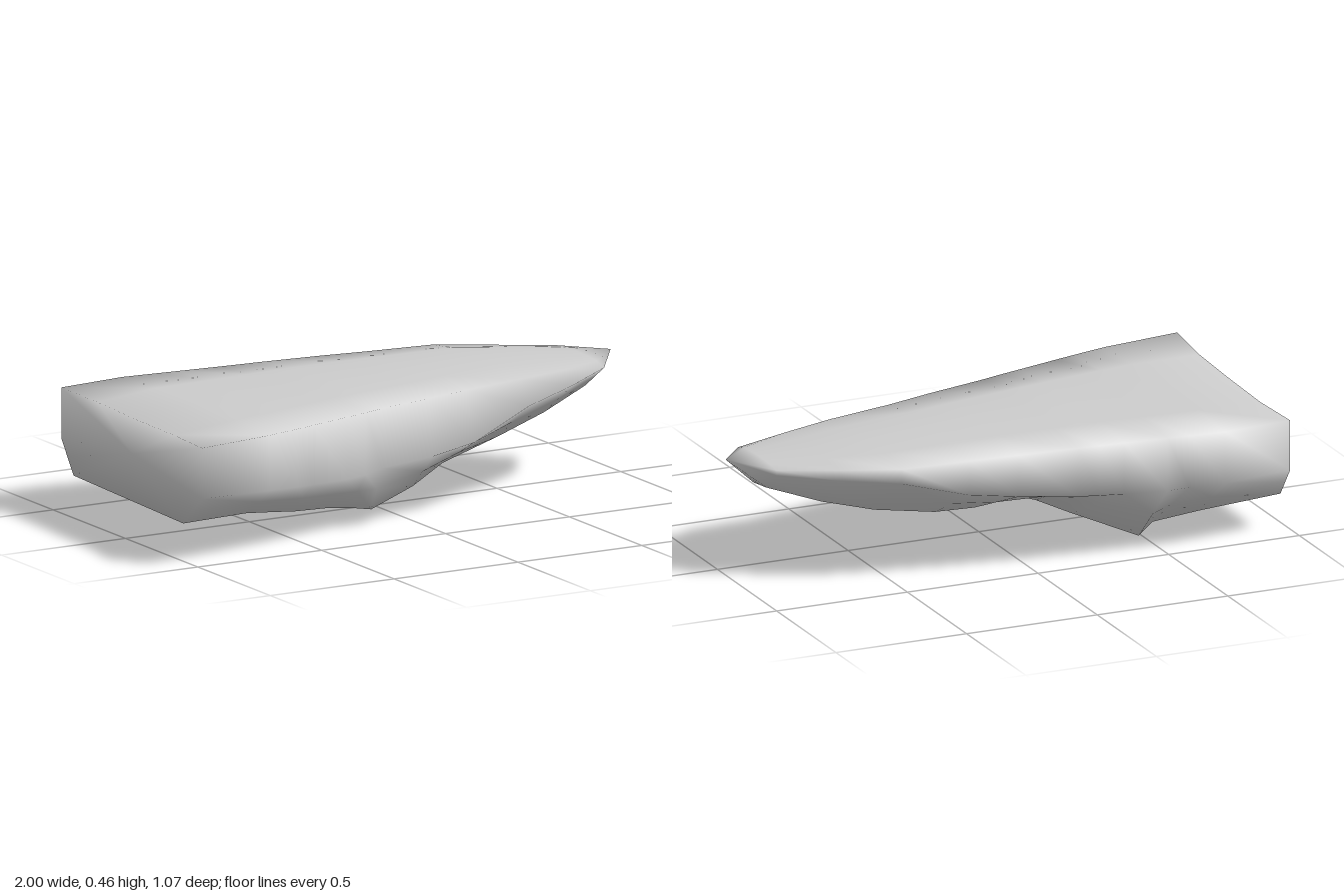
import * as THREE from 'three';

// Stations along the slab: x, rim z (back, front), bulge z (front),
// wall foot y (back, front), keel z/y (back), keel z/y (front), rim y, crown y
const STATIONS = [
  [-0.98, -0.51, 0.53, 0.53, 0.25, 0.25, -0.42, 0.135, 0.39, 0.133, 0.432, 0.425],
  [-0.70, -0.535, 0.485, 0.485, 0.245, 0.235, -0.31, 0.075, 0.32, 0.12, 0.433, 0.445],
  [-0.57, -0.523, 0.452, 0.452, 0.243, 0.225, -0.21, 0.022, 0.30, 0.105, 0.433, 0.448],
  [-0.49, -0.515, 0.43, 0.43, 0.24, 0.22, -0.27, 0.0, 0.29, 0.095, 0.433, 0.45],
  [-0.33, -0.50, 0.385, 0.385, 0.245, 0.21, -0.06, 0.04, 0.25, 0.08, 0.433, 0.453],
  [-0.24, -0.493, 0.36, 0.36, 0.25, 0.21, 0.05, 0.068, 0.25, 0.07, 0.433, 0.455],
  [-0.16, -0.487, 0.335, 0.335, 0.255, 0.22, 0.05, 0.095, 0.26, 0.057, 0.433, 0.456],
  [0.06, -0.468, 0.28, 0.31, 0.28, 0.23, -0.1, 0.128, 0.17, 0.095, 0.432, 0.456],
  [0.24, -0.45, 0.23, 0.29, 0.305, 0.255, -0.16, 0.155, 0.07, 0.137, 0.43, 0.455],
  [0.49, -0.43, 0.175, 0.24, 0.375, 0.345, -0.2, 0.21, 0.03, 0.195, 0.428, 0.453],
  [0.69, -0.335, 0.12, 0.195, 0.385, 0.385, -0.19, 0.265, 0.0, 0.25, 0.423, 0.44],
  [0.88, -0.235, 0.04, 0.09, 0.4, 0.405, -0.15, 0.33, -0.04, 0.315, 0.419, 0.426],
];

// Closed cross-section in [z, y], running back, under, front and over the top
function section([, zb, zf, zw, yb, yf, kbz, kby, kfz, kfy, rim, crown]) {
  const inset = (zf - zb) * 0.23;
  const shoulder = rim + (crown - rim) * 0.7;
  return [
    [zb + inset, shoulder],
    [zb, rim],
    [zb, yb],
    [(zb + kbz) / 2, (yb + kby) / 2],
    [kbz, kby],
    [(kbz + kfz) / 2, (kby + kfy) / 2],
    [kfz, kfy],
    [(zw + kfz) / 2, (yf + kfy) / 2],
    [zw, yf],
    [zf, rim],
    [zf - inset, shoulder],
    [(zb + zf) / 2, crown],
  ];
}

// The broad end is skewed, with its upper edge scooped in
function endSkew(z, y) {
  const scoop = y > 0.4 && Math.abs(z) < 0.4 ? 0.015 : 0;
  return -0.02 * (z / 0.53) + scoop;
}

function loftGeometry() {
  const pos = [];
  const index = [];
  const rings = STATIONS.map(section);
  const n = rings[0].length;
  rings.forEach((ring, i) => {
    for (const [z, y] of ring) {
      pos.push(STATIONS[i][0] + (i === 0 ? endSkew(z, y) : 0), y, z);
    }
  });
  const last = STATIONS.length - 1;
  const end = pos.length / 3;
  pos.push(-0.972, 0.3, 0.0); // middle of the broad end
  pos.push(1.0, 0.425, -0.07); // tip
  for (let j = 0; j < n; j++) {
    const k = (j + 1) % n;
    for (let i = 0; i < last; i++) {
      const a = i * n + j, b = i * n + k, c = a + n, d = b + n;
      index.push(a, c, b, b, c, d);
    }
    index.push(end, j, k);
    index.push(end + 1, last * n + k, last * n + j);
  }
  const g = new THREE.BufferGeometry();
  g.setAttribute('position', new THREE.Float32BufferAttribute(pos, 3));
  g.setIndex(index);
  g.computeVertexNormals();
  return g;
}

export function createModel() {
  const group = new THREE.Group();
  group.name = 'rockLedge';
  const rock = new THREE.Mesh(
    loftGeometry(),
    new THREE.MeshStandardMaterial({ color: 0xcccccc })
  );
  rock.name = 'rockSlab';
  group.add(rock);
  return group;
}
